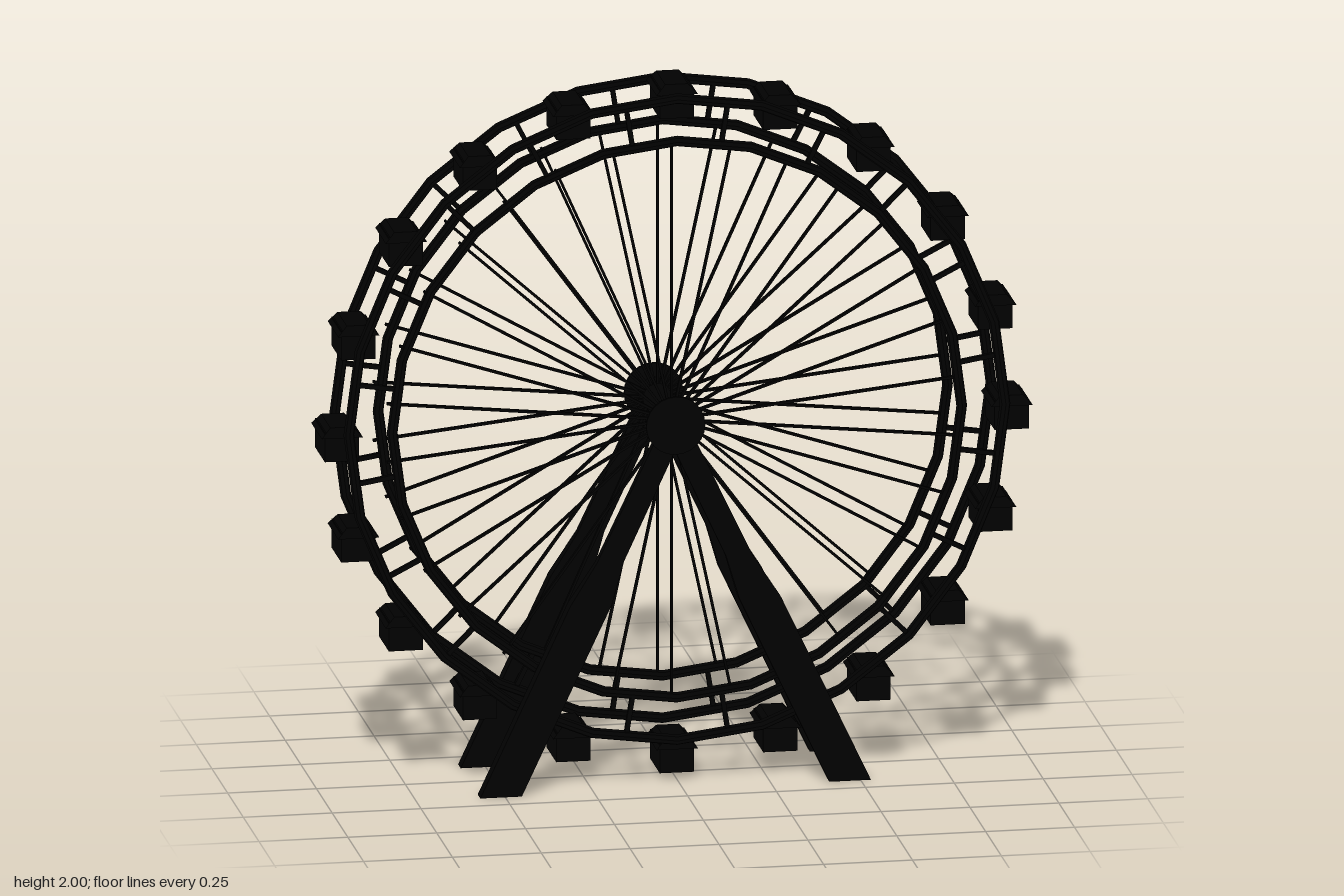
import * as THREE from 'three';

const HUB_X = -0.021, HUB_Y = 1.047, RIM_Z = 0.113;
const RIM_X = -0.006, R_IN = 0.801, R_OUT = 0.923;

export function createModel() {
  const root = new THREE.Group();
  const mat = new THREE.MeshStandardMaterial({ color: 0x010101, flatShading: true });

  const add = (name, geo, parent = root) => {
    const m = new THREE.Mesh(geo, mat);
    m.name = name;
    parent.add(m);
    return m;
  };
  const group = (name) => {
    const g = new THREE.Group();
    g.name = name;
    root.add(g);
    return g;
  };
  // flat radial bar in a wheel face, from radius r0 to r1 at angle a
  const bar = (name, cx, r0, r1, a, z, width, depth, parent) => {
    const m = add(name, new THREE.BoxGeometry(r1 - r0, width, depth), parent);
    const r = (r0 + r1) / 2;
    m.position.set(cx + r * Math.cos(a), HUB_Y + r * Math.sin(a), z);
    m.rotation.z = a;
  };

  // legs: box whose rows follow width, depth and lean
  const legGeometry = (side) => {
    const rows = [
      { y: 0, w: 0.117, d: 0.042 },
      { y: 0.54, w: 0.117, d: 0.042 },
      { y: 0.66, w: 0.075, d: 0.026 },
      { y: HUB_Y, w: 0.07, d: 0.026 },
    ];
    const geo = new THREE.BoxGeometry(1, 3, 1, 1, 3, 1);
    const p = geo.attributes.position;
    for (let i = 0; i < p.count; i++) {
      const r = rows[Math.round(p.getY(i) + 1.5)];
      const lean = side * 0.491 * (1 - r.y / HUB_Y);
      p.setXYZ(i, HUB_X + lean + p.getX(i) * r.w, r.y, p.getZ(i) * r.d);
    }
    geo.computeVertexNormals();
    return geo;
  };

  // the two wheel faces, each with rims, spokes, struts, legs and hub plate
  for (const s of [1, -1]) {
    const face = group(s > 0 ? 'frontWheelFace' : 'backWheelFace');
    const z = s * RIM_Z;
    for (const [name, r] of [['innerRim', R_IN], ['outerRim', R_OUT]]) {
      add(name, new THREE.TorusGeometry(r, 0.015, 8, 24), face).position.set(RIM_X, HUB_Y, z);
    }
    for (let i = 0; i < 30; i++) {
      const a = Math.PI / 2 + (i * Math.PI) / 15;
      bar('spoke', HUB_X, 0.02, 0.805, a, z, 0.007, 0.012, face);
    }
    for (let i = 0; i < 20; i++) {
      const a = ((i + 0.5) * Math.PI) / 10;
      bar('rimStrut', RIM_X, R_IN - 0.005, R_OUT - 0.005, a, z, 0.013, 0.014, face);
    }
    for (const side of [1, -1]) {
      add(side > 0 ? 'leftLeg' : 'rightLeg', legGeometry(side), face).position.z = s * 0.156;
    }
    const plate = add('hubPlate', new THREE.CylinderGeometry(0.083, 0.083, 0.008, 24), face);
    plate.rotation.x = Math.PI / 2;
    plate.position.set(HUB_X, HUB_Y, s * 0.177);
  }

  // axle
  const axle = add('axle', new THREE.CylinderGeometry(0.042, 0.042, 0.36, 20));
  axle.rotation.x = Math.PI / 2;
  axle.position.set(HUB_X, HUB_Y, 0);

  // cabin roof: box with its top drawn in on all sides
  const roofGeo = new THREE.BoxGeometry(0.116, 0.028, 0.17);
  const rp = roofGeo.attributes.position;
  for (let i = 0; i < rp.count; i++) {
    if (rp.getY(i) > 0) {
      rp.setX(i, rp.getX(i) * 0.55);
      rp.setZ(i, rp.getZ(i) * 0.86);
    }
  }
  roofGeo.computeVertexNormals();
  const bodyGeo = new THREE.BoxGeometry(0.096, 0.084, 0.154);

  // cabins hang upright around the rim
  for (let i = 0; i < 20; i++) {
    const a = (i * Math.PI) / 10;
    const cabin = group('cabin');
    cabin.position.set(0.942 * Math.cos(a), 1.016 + 0.942 * Math.sin(a), 0);
    add('cabinBody', bodyGeo, cabin).position.y = -0.013;
    add('cabinRoof', roofGeo, cabin).position.y = 0.028;
  }
  return root;
}
